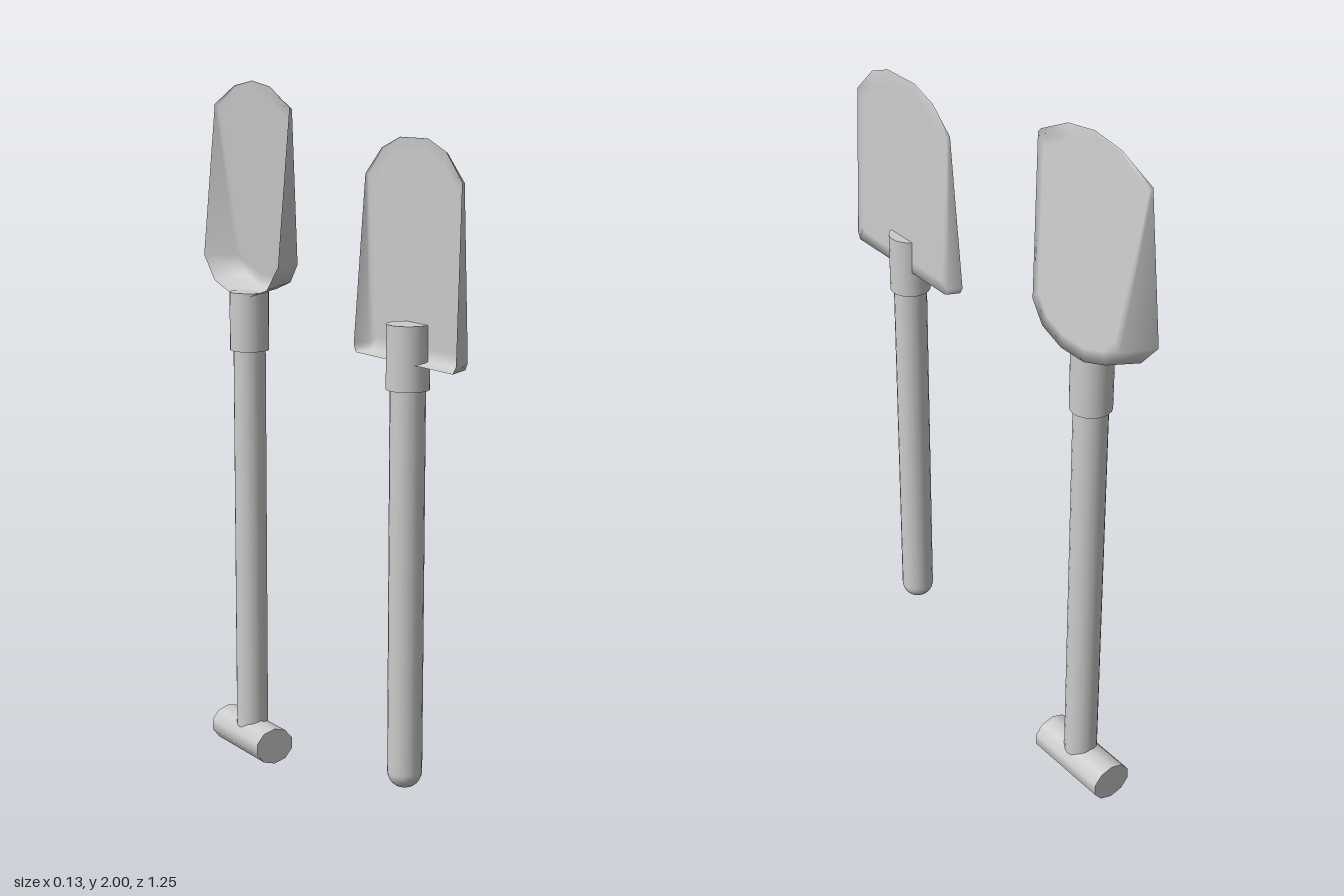
import * as THREE from 'three';

const metal = new THREE.MeshStandardMaterial({ color: 0xcccccc });
const sheet = new THREE.MeshStandardMaterial({ color: 0xcccccc, side: THREE.DoubleSide });

function add(group, name, geometry, material = metal) {
  const mesh = new THREE.Mesh(geometry, material);
  mesh.name = name;
  group.add(mesh);
  return mesh;
}

// Mirrors a half outline of [z, y] points (top to bottom) into a closed loop
function mirrorOutline(half) {
  return [...half, ...half.slice().reverse().map(([z, y]) => [-z, y])];
}

// Shallow pressed tray: an open rim towards -x, walls, and a floor towards +x.
// rimX and floorX give the depth at a height; the two meet at the tip.
function trayBlade(rimHalf, floorHalf, rimX, floorX) {
  const rim = mirrorOutline(rimHalf), floor = mirrorOutline(floorHalf);
  const n = rim.length, pos = [], idx = [];
  rim.forEach(([z, y]) => pos.push(rimX(y), y, z));
  floor.forEach(([z, y]) => pos.push(floorX(y), y, z));
  // inner floor ring keeps the flat middle flat under smooth shading
  const ys = floor.map((p) => p[1]);
  const midY = (Math.max(...ys) + Math.min(...ys)) / 2;
  floor.forEach(([z, y]) => {
    const v = midY + (y - midY) * 0.88;
    pos.push(floorX(v), v, z * 0.88);
  });
  pos.push(floorX(midY), midY, 0);
  for (let i = 0; i < n; i++) {
    const j = (i + 1) % n;
    for (const r of [0, n]) idx.push(r + i, r + n + i, r + j, r + j, r + n + i, r + n + j);
    idx.push(2 * n + i, 3 * n, 2 * n + j);
  }
  // make the floor face +x
  for (let i = 0; i < idx.length; i += 3) [idx[i + 1], idx[i + 2]] = [idx[i + 2], idx[i + 1]];
  const g = new THREE.BufferGeometry();
  g.setAttribute('position', new THREE.Float32BufferAttribute(pos, 3));
  g.setIndex(idx);
  g.computeVertexNormals();
  return g;
}

const ramp = (y0, x0, y1, x1) => (y) =>
  THREE.MathUtils.lerp(x0, x1, THREE.MathUtils.clamp((y - y0) / (y1 - y0), 0, 1));

function addCollar(group) {
  const collar = add(group, 'collar', new THREE.CylinderGeometry(0.057, 0.057, 0.17, 24));
  collar.position.set(-0.003, 1.315, 0);
}

// Square spade with a plain rounded handle
function squareSpade() {
  const g = new THREE.Group();
  g.name = 'squareSpade';
  const profile = [];
  for (let i = 0; i <= 6; i++) {
    const a = (i / 6) * Math.PI / 2;
    profile.push(new THREE.Vector2(0.047 * Math.sin(a), 0.195 - 0.045 * Math.cos(a)));
  }
  profile.push(new THREE.Vector2(0.047, 1.3));
  add(g, 'handle', new THREE.LatheGeometry(profile, 20)).position.x = -0.003;
  addCollar(g);

  const rim = [[0.062, 1.87], [0.142, 1.84], [0.213, 1.77], [0.23, 1.32], [0.218, 1.3]];
  const floor = [[0.062, 1.868], [0.141, 1.838], [0.211, 1.768], [0.22, 1.325], [0.21, 1.306]];
  add(g, 'blade', trayBlade(rim, floor, ramp(1.3, -0.02, 1.87, 0.01), ramp(1.3, 0.025, 1.87, 0.012)), sheet);
  g.position.z = 0.393;
  return g;
}

// Deep scoop shovel with a cross grip
function scoopShovel() {
  const g = new THREE.Group();
  g.name = 'scoopShovel';
  const handle = add(g, 'handle', new THREE.CylinderGeometry(0.047, 0.047, 1.22, 20));
  handle.position.set(-0.003, 0.69, 0);
  const grip = add(g, 'crossGrip', new THREE.CylinderGeometry(0.054, 0.054, 0.27, 10).rotateX(Math.PI / 2));
  grip.scale.x = 1.16;
  grip.position.set(-0.003, 0.054, -0.005);
  addCollar(g);

  const rim = [[0, 2], [0.1, 1.985], [0.21, 1.93], [0.212, 1.49], [0.15, 1.42], [0.05, 1.39]];
  const floor = [[0, 1.995], [0.1, 1.98], [0.208, 1.925], [0.172, 1.49], [0.125, 1.435], [0.045, 1.408]];
  add(g, 'blade', trayBlade(rim, floor, ramp(1.49, -0.033, 1.97, 0.011), ramp(1.4, 0.064, 1.97, 0.013)), sheet);
  g.position.z = -0.415;
  return g;
}

export function createModel() {
  const model = new THREE.Group();
  model.name = 'shovelPair';
  model.add(squareSpade(), scoopShovel());
  return model;
}
